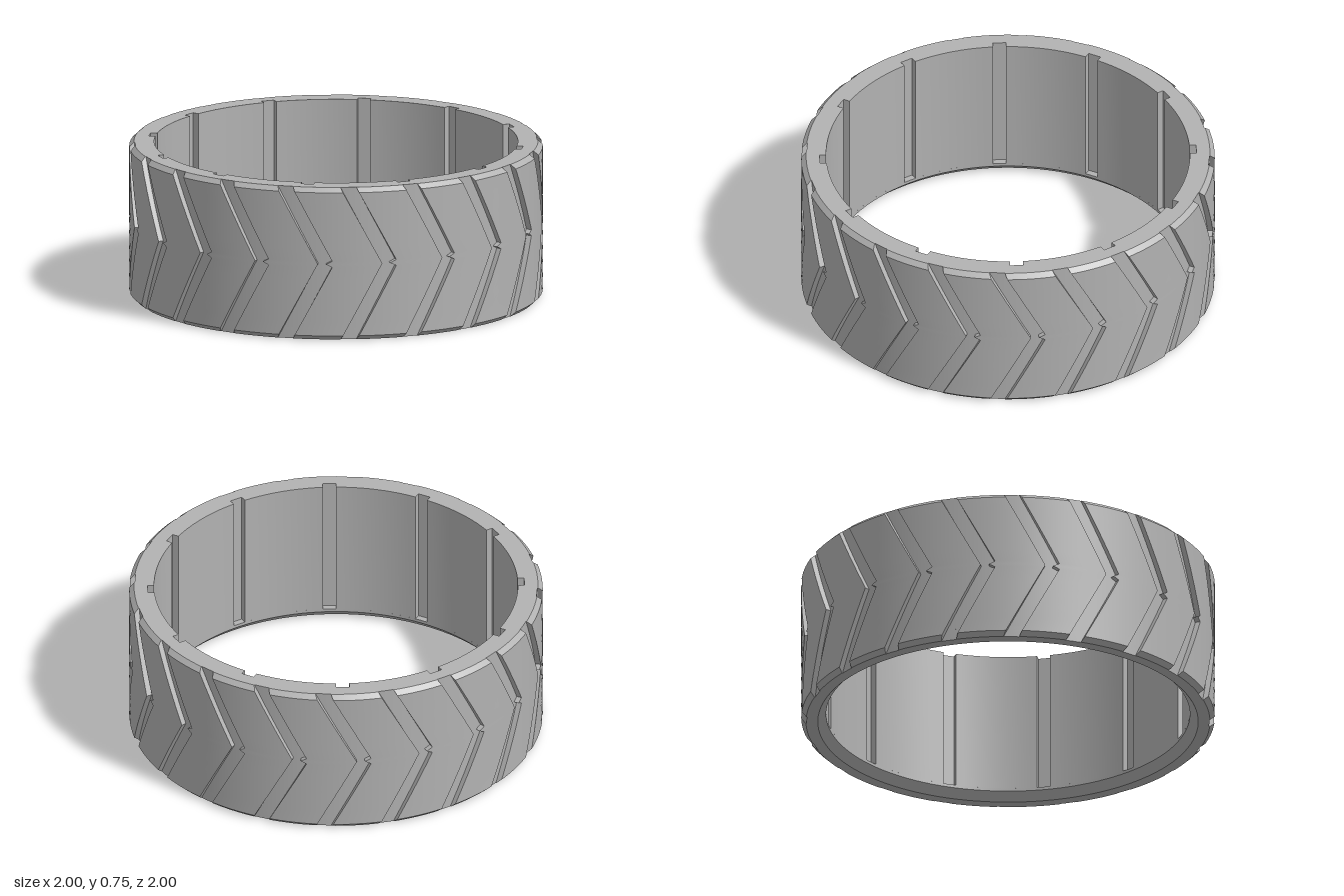
import * as THREE from 'three';
import { toCreasedNormals } from 'three/addons/utils/BufferGeometryUtils.js';

const H = 0.755, INNER = 0.88, FLOOR = 0.974, RIM = 0.977, CHAMFER = 0.022;
const SLOT_Y = 0.055, SLOT_R = 0.912, SLOT_HALF = 0.032;
const LUGS = 20, SLOTS = 12, PITCH = (Math.PI * 2) / LUGS;

// One tread lug: the raised land between two neighbouring chevron grooves
function lugGeometry() {
  const mid = H / 2, notch = 0.015, slope = 0.54;
  const half = [[0, FLOOR - 0.002], [0, RIM], [CHAMFER, 1], [0.09, 1], [0.16, 1], [0.23, 1], [0.3, 1], [mid - notch, 1]];
  const profile = [...half, [mid, 1], ...half.map(([y, r]) => [H - y, r]).reverse()];
  const steps = 10, positions = [], index = [];
  const add = (a, y, r) => positions.push(r * Math.sin(a), y, r * Math.cos(a));
  for (const [y, r] of profile) {
    const t = Math.abs(y - mid);
    const left = t < notch ? (0.03 * t) / notch : 0.03 - slope * (t - notch);
    const right = PITCH - 0.04 - slope * t;
    add(left, y, FLOOR - 0.002); // groove wall
    for (let i = 0; i <= steps; i++) add(left + ((right - left) * i) / steps, y, r);
    add(right, y, FLOOR - 0.002); // groove wall
  }
  const n = steps + 3;
  for (let j = 0; j < profile.length - 1; j++) {
    for (let i = 0; i < n - 1; i++) {
      const a = j * n + i, b = a + 1, c = a + n, d = c + 1;
      index.push(a, b, d, a, d, c);
    }
  }
  const g = new THREE.BufferGeometry();
  g.setAttribute('position', new THREE.Float32BufferAttribute(positions, 3));
  g.setIndex(index);
  return toCreasedNormals(g, 0.45);
}

// Main ring with keyway slots cut into the bore
function slottedRingGeometry() {
  const shape = new THREE.Shape().absarc(0, 0, FLOOR, 0, Math.PI * 2, false);
  const hole = [];
  const step = (Math.PI * 2) / SLOTS, edge = Math.asin(SLOT_HALF / INNER);
  const deep = Math.sqrt(SLOT_R ** 2 - SLOT_HALF ** 2);
  for (let s = 0; s < SLOTS; s++) {
    const a = s * step, c = Math.cos(a), k = Math.sin(a);
    for (const w of [-SLOT_HALF, SLOT_HALF]) hole.push(new THREE.Vector2(deep * c - w * k, deep * k + w * c));
    for (let i = 0; i <= 10; i++) {
      const b = a + edge + ((step - 2 * edge) * i) / 10;
      hole.push(new THREE.Vector2(INNER * Math.cos(b), INNER * Math.sin(b)));
    }
  }
  shape.holes.push(new THREE.Path(hole));
  const g = new THREE.ExtrudeGeometry(shape, { depth: H - SLOT_Y, bevelEnabled: false, curveSegments: 120 });
  g.rotateX(-Math.PI / 2).translate(0, SLOT_Y, 0);
  return toCreasedNormals(g, 0.45);
}

// Bottom lip: closes the slots and carries the inner chamfer
function bottomLipGeometry() {
  const pts = [[0.93, SLOT_Y], [INNER, SLOT_Y], [INNER, 0.04], [0.92, 0], [FLOOR, 0], [FLOOR, SLOT_Y]];
  const g = new THREE.LatheGeometry(pts.map(([r, y]) => new THREE.Vector2(r, y)), 120);
  return toCreasedNormals(g, 0.45);
}

export function createModel() {
  const rubber = new THREE.MeshStandardMaterial({ color: 0xb2b2b2 });
  rubber.name = 'grey rubber';
  const model = new THREE.Group();
  model.name = 'treadedTyre';
  const add = (name, geometry, parent = model) => {
    const mesh = new THREE.Mesh(geometry, rubber);
    mesh.name = name;
    parent.add(mesh);
    return mesh;
  };

  add('slottedRing', slottedRingGeometry());
  add('bottomLip', bottomLipGeometry());

  // Chevron tread
  const tread = new THREE.Group();
  tread.name = 'chevronTread';
  model.add(tread);
  const lug = lugGeometry();
  for (let i = 0; i < LUGS; i++) add('treadLug', lug, tread).rotation.y = i * PITCH;

  return model;
}
